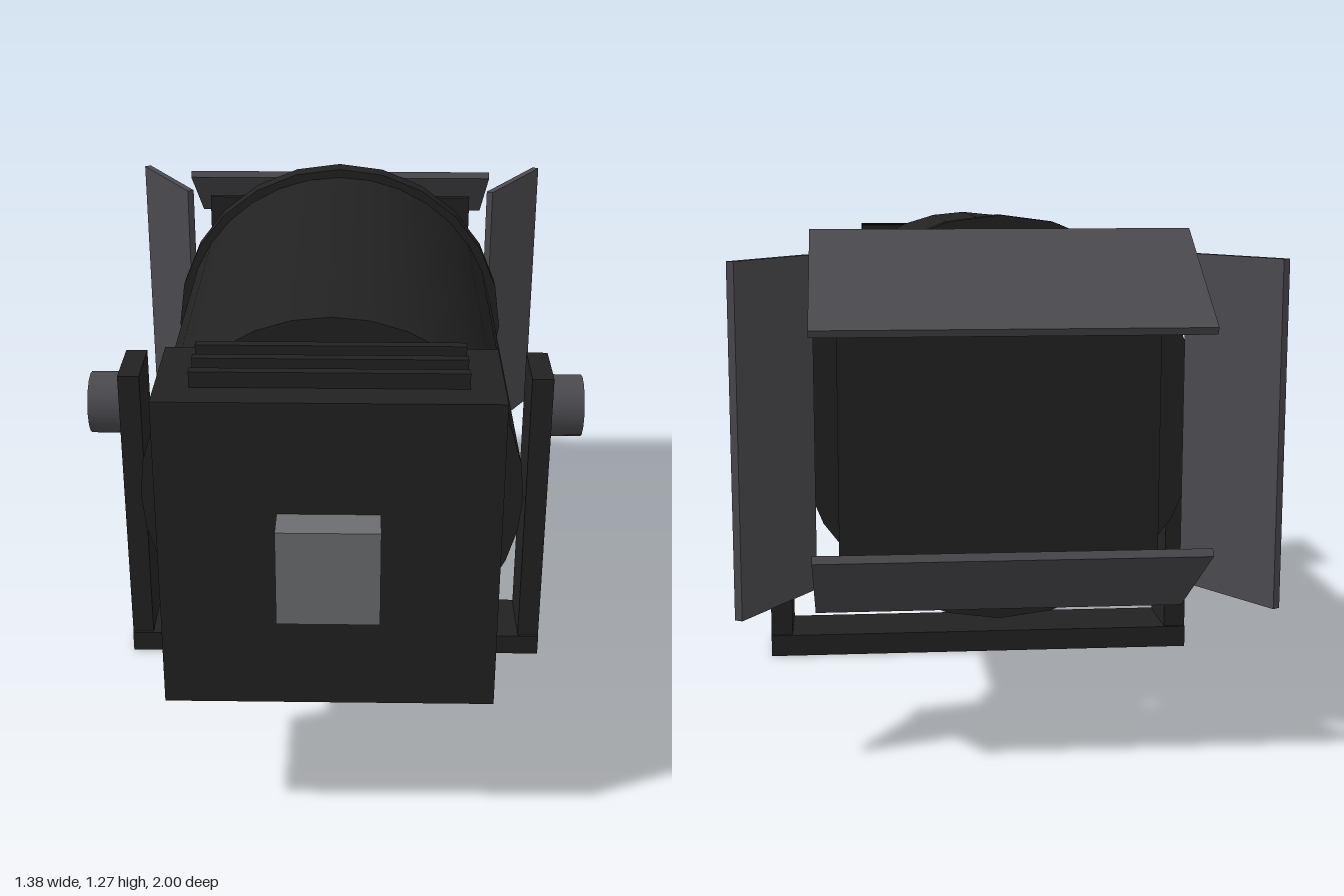
import * as THREE from 'three';

const housingBlack = new THREE.MeshStandardMaterial({ color: 0x222222 });
housingBlack.name = 'housing black';
const doorGrey = new THREE.MeshStandardMaterial({ color: 0x4a4a4f });
doorGrey.name = 'door grey';
const fittingGrey = new THREE.MeshStandardMaterial({ color: 0x6c6d70 });
fittingGrey.name = 'fitting grey';

export function createModel() {
  const model = new THREE.Group();
  model.name = 'stageSpotlight';
  const axisY = 0.765;
  const yokeZ = 0.03;

  function add(name, geometry, material, x, y, z) {
    const mesh = new THREE.Mesh(geometry, material);
    mesh.name = name;
    mesh.position.set(x, y, z);
    model.add(mesh);
    return mesh;
  }
  const box = (name, mat, w, h, d, x, y, z) => add(name, new THREE.BoxGeometry(w, h, d), mat, x, y, z);
  const drum = (radius, length, sides) => new THREE.CylinderGeometry(radius, radius, length, sides);

  // Barrel, rim and the square gate that carries the doors
  add('barrel', drum(0.48, 1.19, 32).rotateX(Math.PI / 2), housingBlack, 0, axisY, -0.005);
  add('rim', drum(0.505, 0.06, 24).rotateX(Math.PI / 2), housingBlack, 0, axisY, -0.603);
  box('gatePlate', housingBlack, 0.8, 0.8, 0.02, 0, axisY, -0.64);

  // Lamp housing with cooling fins and connector
  box('lampHousing', housingBlack, 0.8, 0.8, 0.32, 0, axisY, 0.75);
  for (const z of [0.655, 0.735, 0.815]) {
    box('coolingFin', housingBlack, 0.64, 0.04, 0.025, 0, 1.183, z);
  }
  box('connector', fittingGrey, 0.24, 0.24, 0.1, 0, axisY, 0.95);

  // Focus handle under the barrel
  const handle = drum(0.042, 0.16, 8).rotateZ(Math.PI / 2);
  add('focusHandle', handle, fittingGrey, 0, 0.245, 0.35);

  // Yoke
  box('yokeBase', housingBlack, 1.2, 0.06, 0.205, 0, 0.03, yokeZ);
  for (const side of [-1, 1]) {
    box('yokeArm', housingBlack, 0.06, 0.855, 0.19, side * 0.57, 0.4575, yokeZ);
    const knob = drum(0.087, 0.12, 16).rotateZ(Math.PI / 2);
    add('tiltKnob', knob, doorGrey, side * 0.63, axisY, yokeZ);
  }

  // Barn doors: upper and lower lean inward, the sides open outward
  const doorAngle = 0.55;
  for (const side of [-1, 1]) {
    const flap = box('crossDoor', doorGrey, 0.92, 0.02, 0.4, 0, axisY + side * 0.36, -0.825);
    flap.rotation.x = -side * doorAngle;
    const wing = box('sideDoor', doorGrey, 0.02, 0.825, 0.32, side * 0.5475, axisY, -0.788);
    wing.rotation.y = -side * doorAngle;
  }
  return model;
}
